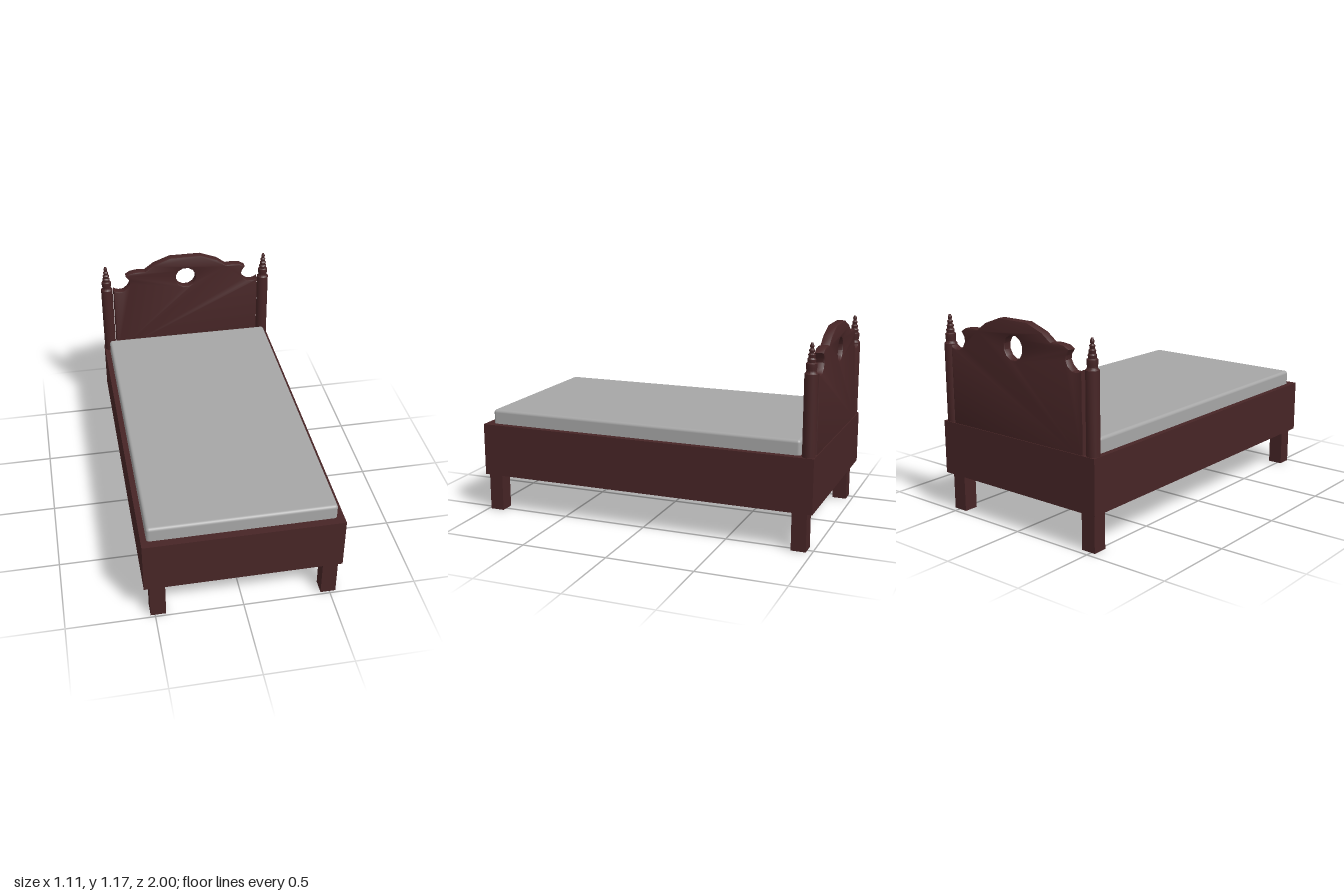
import * as THREE from 'three';
import { toCreasedNormals } from 'three/addons/utils/BufferGeometryUtils.js';
import { RoundedBoxGeometry } from 'three/addons/geometries/RoundedBoxGeometry.js';

export function createModel() {
  const bed = new THREE.Group();
  bed.name = 'bed';
  const wood = new THREE.MeshStandardMaterial({ color: 0x472526 });
  wood.name = 'dark red wood';
  const fabric = new THREE.MeshStandardMaterial({ color: 0xa6a6a6 });
  fabric.name = 'grey fabric';

  const add = (name, geometry, material, x, y, z) => {
    const mesh = new THREE.Mesh(geometry, material);
    mesh.name = name;
    mesh.position.set(x, y, z);
    bed.add(mesh);
    return mesh;
  };

  // Frame and mattress
  add('frame', new THREE.BoxGeometry(1.114, 0.308, 2), wood, 0, 0.376, 0);
  add('mattress', new RoundedBoxGeometry(1.044, 0.16, 1.87, 3, 0.018), fabric, -0.003, 0.534, 0.019);

  // Legs, set slightly towards +x and the front
  const leg = new THREE.BoxGeometry(0.087, 0.24, 0.084);
  for (const [side, x] of [['right', -0.482], ['left', 0.492]]) {
    add(side + 'FrontLeg', leg, wood, x, 0.12, 0.944);
    add(side + 'BackLeg', leg, wood, x, 0.12, -0.924);
  }

  // Headboard posts with stepped finials
  const profile = [
    [0.037, 0.5], [0.037, 0.976], [0.03, 0.982], [0.027, 0.992], [0.03, 1.008],
    [0.03, 1.03], [0.022, 1.036], [0.024, 1.052], [0.018, 1.06], [0.02, 1.076],
    [0.013, 1.084], [0.016, 1.1], [0.009, 1.108], [0.012, 1.122], [0.006, 1.137], [0, 1.138],
  ].map(([r, y]) => new THREE.Vector2(r, y));
  const post = toCreasedNormals(new THREE.LatheGeometry(profile, 12), 0.6);
  add('rightPost', post, wood, -0.518, 0, -0.961);
  add('leftPost', post, wood, 0.516, 0, -0.961);

  // Scrolled headboard: half outline from the outer bottom to the crest, mirrored
  const half = [
    [0.476, 0.5], [0.476, 0.972], [0.465, 0.963], [0.44, 0.955], [0.41, 0.958],
    [0.383, 0.98], [0.368, 1.008], [0.371, 1.032], [0.392, 1.063], [0.36, 1.082],
    [0.315, 1.088], [0.266, 1.085], [0.207, 1.128], [0.1, 1.168],
  ];
  const outline = [...half, ...half.map(([x, y]) => [-x, y]).reverse()];
  const shape = new THREE.Shape(outline.map(([x, y]) => new THREE.Vector2(x, y)));

  // Round opening
  const hole = [];
  for (let i = 0; i < 12; i++) {
    const a = -((i + 0.5) / 12) * Math.PI * 2;
    hole.push(new THREE.Vector2(0.067 * Math.cos(a), 1.021 + 0.067 * Math.sin(a)));
  }
  shape.holes.push(new THREE.Path(hole));

  const bevel = 0.007;
  const board = new THREE.ExtrudeGeometry(shape, {
    depth: 0.053 - 2 * bevel, bevelEnabled: true, bevelSegments: 2,
    bevelSize: bevel, bevelThickness: bevel, bevelOffset: -bevel,
  });
  add('headboard', toCreasedNormals(board, 0.6), wood, 0, 0, -0.995 + bevel);

  return bed;
}
